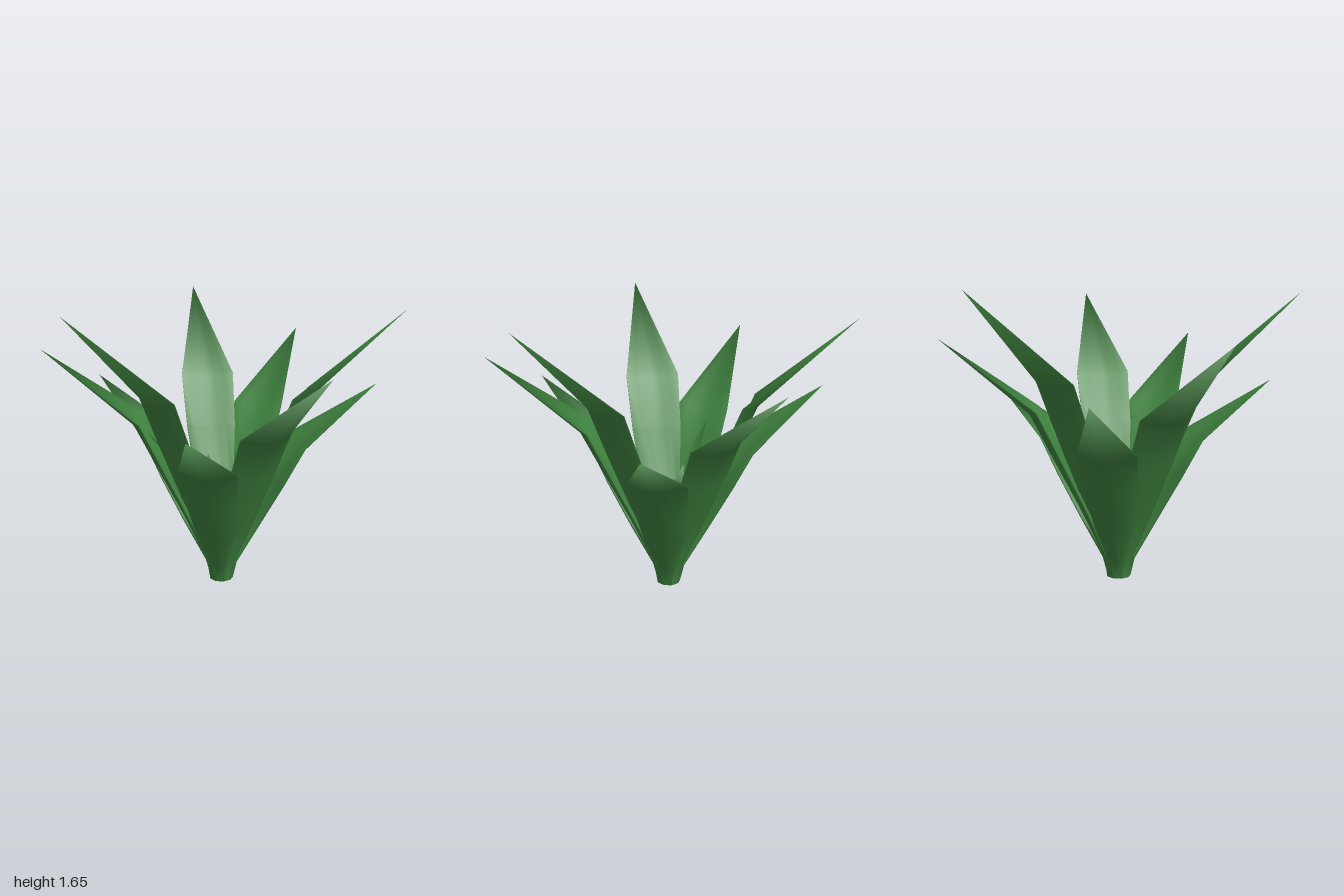
import * as THREE from 'three';

// Leaf sections: [spine radius, spine height, half width, rim rise, thickness], as shares of the leaf size
const SECTIONS = [
  [0.066, 0.0, 0.14, 0.0, 0.4],
  [0.088, 0.09, 0.28, 0.15, 0.45],
  [0.225, 0.3, 0.7, 0.6, 0.28],
  [0.375, 0.51, 0.93, 0.9, 0.22],
  [0.5, 0.69, 1.0, 1.0, 0.18],
  [1.0, 1.0, 0.0, 0.0, 0.0],
];
const COLS = 6;
const RING = 2 * (COLS + 1);

// A solid channelled leaf growing towards +z, with raised rims and a pointed tip
function leafGeometry(reach, height, halfWidth) {
  const pos = [], index = [];
  SECTIONS.forEach(([r, h, w, rise, thick]) => {
    // each ring runs along the outer side, then back along the inner side
    for (let i = 0; i < RING; i++) {
      const isInner = i > COLS;
      const u = ((isInner ? RING - 1 - i : i) / COLS) * 2 - 1;
      const lift = Math.pow(Math.abs(u), 1.5) * rise * halfWidth * 0.3;
      const body = isInner ? thick * halfWidth * (1 - 0.75 * u * u) : 0;
      pos.push(
        u * w * halfWidth,
        h * height + lift * 0.5 + (h > 0 ? body * 0.45 : 0),
        r * reach - lift * 0.9 - body * 0.88,
      );
    }
  });
  const last = SECTIONS.length - 2;
  for (let j = 0; j <= last; j++) {
    for (let i = 0; i < RING; i++) {
      const a = j * RING + i, b = j * RING + ((i + 1) % RING);
      index.push(a, b, a + RING);
      if (j < last) index.push(b, b + RING, a + RING);
    }
  }
  // foot of the leaf
  for (let i = 1; i < RING - 1; i++) index.push(0, i + 1, i);

  const g = new THREE.BufferGeometry();
  g.setAttribute('position', new THREE.Float32BufferAttribute(pos, 3));
  g.setIndex(index);
  g.computeVertexNormals();
  // the collapsed tip points along the leaf
  const normals = g.attributes.normal;
  for (let i = (last + 1) * RING; i < normals.count; i++) {
    normals.setXYZ(i, 0, 0.5, 0.87);
  }
  return g;
}

export function createModel() {
  const plant = new THREE.Group();
  plant.name = 'plant';
  const green = new THREE.MeshStandardMaterial({ color: 0x408440 });

  const addLeaf = (name, geometry, degrees) => {
    const leaf = new THREE.Mesh(geometry, green);
    leaf.name = name;
    leaf.rotation.y = THREE.MathUtils.degToRad(degrees);
    leaf.position.z = -0.035;
    plant.add(leaf);
  };

  // Outer ring: nine leaves in three repeating heights
  const outer = [1.12, 1.39, 1.65].map((h) => leafGeometry(1.013, h, 0.16));
  for (let i = 0; i < 9; i++) addLeaf('outerLeaf', outer[i % 3], i * 40);

  // Inner leaves, spaced by the golden angle
  const inner = leafGeometry(0.44, 0.91, 0.05);
  for (let i = 0; i < 3; i++) addLeaf('innerLeaf', inner, i * 137.5);

  return plant;
}
